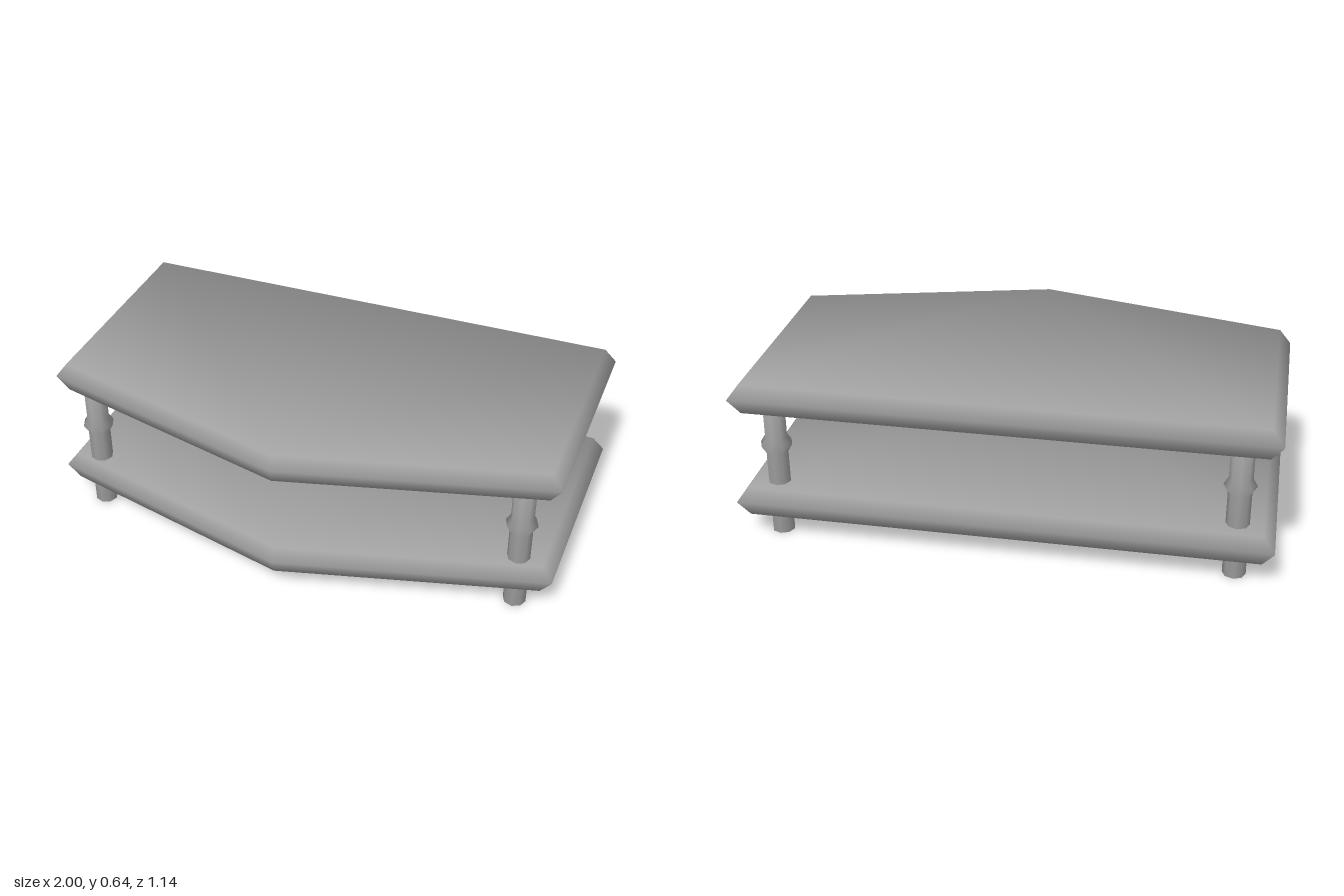
import * as THREE from 'three';

const wood = new THREE.MeshStandardMaterial({ color: 0xa0a0a0 });
wood.name = 'grey';

// Five-sided outline, anticlockwise from above: x, z, then outward lean of the normal
const outline = [
  [0, 0.568, 0, 0.7],
  [1, 0.31, 0.38, 0.7],
  [1, -0.568, 0.38, -0.68],
  [-1, -0.568, -0.38, -0.68],
  [-1, 0.31, -0.38, 0.7],
];

// Shelf with a bevelled rim, built from three rings and softly shaded across its edges
function shelfGeometry(half) {
  const rings = [[-half, 0.957, -1], [0, 1, 0], [half, 0.957, 1]];
  const pos = [], nor = [], idx = [];
  const n = outline.length;
  for (const [y, inset, up] of rings) {
    for (const [x, z, nx, nz] of outline) {
      pos.push(x * inset, y, z * (inset < 1 ? 0.963 : 1));
      const v = new THREE.Vector3(nx, up, nz).normalize();
      nor.push(v.x, v.y, v.z);
    }
  }
  // rim
  for (let r = 0; r < 2; r++) {
    for (let i = 0; i < n; i++) {
      const a = r * n + i, b = r * n + (i + 1) % n;
      idx.push(a, b, b + n, a, b + n, a + n);
    }
  }
  // underside and top
  for (let i = 1; i < n - 1; i++) {
    idx.push(0, i + 1, i);
    idx.push(2 * n, 2 * n + i, 2 * n + i + 1);
  }
  const g = new THREE.BufferGeometry();
  g.setAttribute('position', new THREE.Float32BufferAttribute(pos, 3));
  g.setAttribute('normal', new THREE.Float32BufferAttribute(nor, 3));
  g.setIndex(idx);
  return g;
}

// Eight-sided turned leg with a collar between the shelves
function legGeometry() {
  const r = 0.0435;
  const profile = [
    [0, 0], [r, 0], [r, 0.34], [0.061, 0.37], [r, 0.4], [r, 0.55], [0, 0.55],
  ].map(([x, y]) => new THREE.Vector2(x, y));
  return new THREE.LatheGeometry(profile, 8);
}

export function createModel() {
  const model = new THREE.Group();
  model.name = 'table';

  const shelf = shelfGeometry(0.0575);
  for (const [name, y] of [['lowerShelf', 0.154], ['tableTop', 0.583]]) {
    const mesh = new THREE.Mesh(shelf, wood);
    mesh.name = name;
    mesh.position.y = y;
    model.add(mesh);
  }

  const leg = legGeometry();
  for (const [sideName, x] of [['Left', 0.86], ['Right', -0.86]]) {
    for (const [endName, z] of [['front', 0.268], ['back', -0.468]]) {
      const mesh = new THREE.Mesh(leg, wood);
      mesh.name = `${endName}${sideName}Leg`;
      mesh.position.set(x, 0, z);
      model.add(mesh);
    }
  }
  return model;
}
